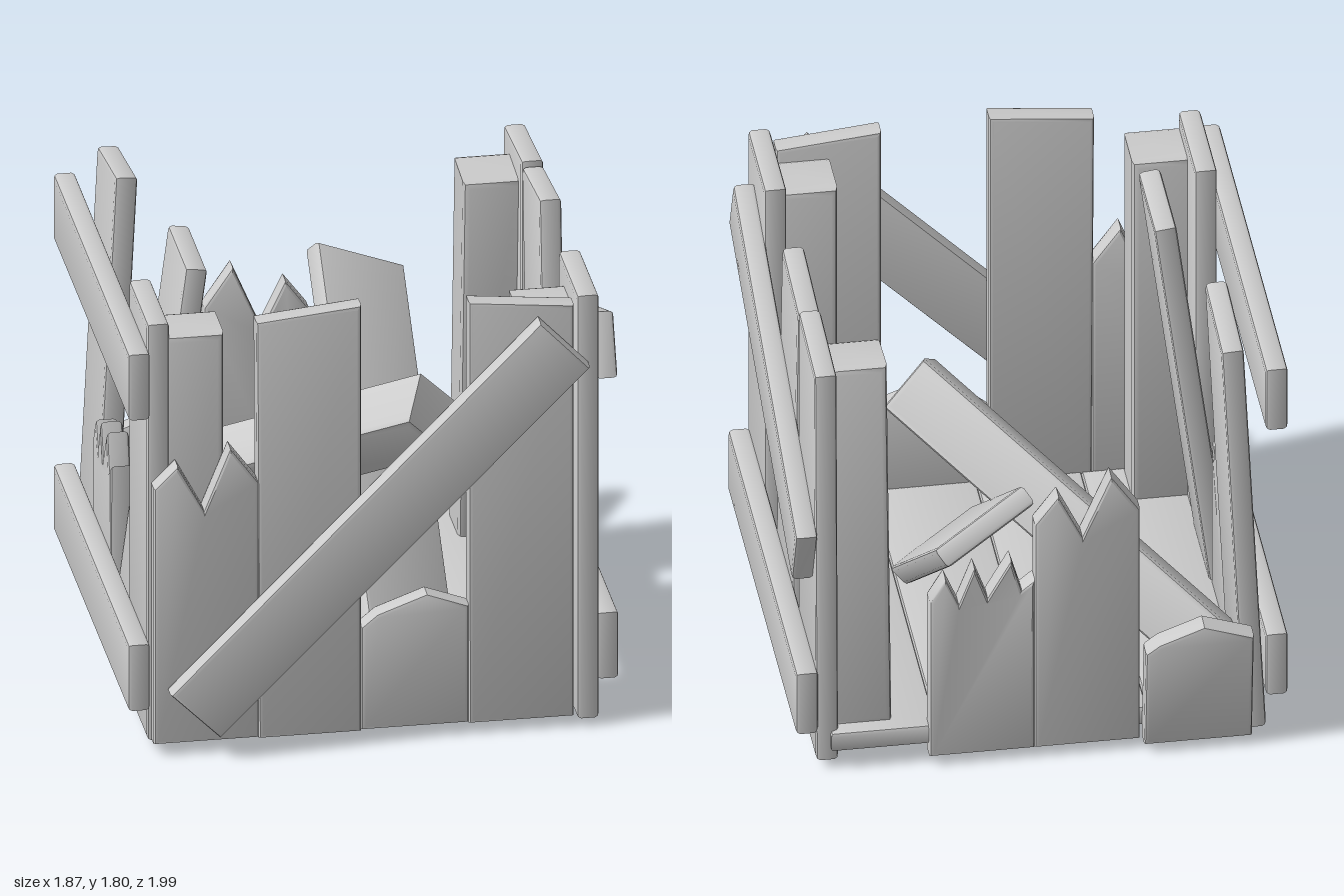
import * as THREE from 'three';
import { toCreasedNormals } from 'three/addons/utils/BufferGeometryUtils.js';

const material = new THREE.MeshStandardMaterial({ color: 0xcccccc });

// Board cut from an outline, with softly bevelled edges, centred on its thickness
function board(name, points, thickness = 0.085, bevel = 0.016) {
  const shape = new THREE.Shape(points.map(([x, y]) => new THREE.Vector2(x, y)));
  const geometry = new THREE.ExtrudeGeometry(shape, {
    depth: thickness - 2 * bevel, bevelThickness: bevel, bevelSize: bevel,
    bevelOffset: -bevel, bevelSegments: 2, steps: 1,
  });
  geometry.translate(0, 0, bevel - thickness / 2);
  const mesh = new THREE.Mesh(toCreasedNormals(geometry, 0.6), material);
  mesh.name = name;
  return mesh;
}

const rect = (x0, x1, y0, y1) => [[x0, y0], [x1, y0], [x1, y1], [x0, y1]];

// Plank standing from x0 to x1 whose top edge follows the given points
const upright = (x0, x1, y0, top) => [[x0, y0], [x1, y0], ...[...top].reverse()];

// Board lying along a given direction: across = width axis, along = length axis
function fallen(name, width, length, thickness, bevel, tip, across, along) {
  const mesh = board(name, rect(-width / 2, width / 2, -length, 0), thickness, bevel);
  const y = new THREE.Vector3(...along).normalize();
  const x = new THREE.Vector3(...across);
  x.addScaledVector(y, -x.dot(y)).normalize();
  const z = new THREE.Vector3().crossVectors(x, y);
  mesh.quaternion.setFromRotationMatrix(new THREE.Matrix4().makeBasis(x, y, z));
  mesh.position.set(...tip);
  return mesh;
}

// Wall group: local x runs to the right as seen from outside, local z points outward
function wall(name, angle, distance, boards) {
  const group = new THREE.Group();
  group.name = name;
  group.rotation.y = angle;
  group.position.set(Math.sin(angle) * distance, 0, Math.cos(angle) * distance);
  for (const { label, points, out = 0, lean = 0 } of boards) {
    const mesh = board(label, points);
    mesh.position.z = out;
    mesh.rotation.x = lean;
    group.add(mesh);
  }
  return group;
}

export function createModel() {
  const model = new THREE.Group();
  model.name = 'brokenCrate';

  // Front wall
  model.add(wall('frontWall', 0, 0.87, [
    { label: 'splitPlank', points: upright(-0.84, -0.44, 0.045,
      [[-0.84, 1.1], [-0.75, 1.19], [-0.65, 1.0], [-0.55, 1.25], [-0.44, 1.1]]) },
    { label: 'tallPlank', points: upright(-0.44, -0.05, 0.04, [[-0.45, 1.76], [-0.05, 1.8]]) },
    { label: 'shortPlank', points: upright(-0.05, 0.36, 0.045,
      [[-0.05, 0.47], [0.01, 0.52], [0.2, 0.59], [0.36, 0.53]]) },
    { label: 'tallPlank', points: upright(0.36, 0.76, 0.04, [[0.36, 1.78], [0.76, 1.74]]) },
    { label: 'diagonalBrace', out: 0.08,
      points: [[-0.6, 0.09], [0.81, 1.51], [0.62, 1.71], [-0.79, 0.28]] },
  ]));

  // Left side (+x)
  model.add(wall('leftWall', Math.PI / 2, 0.812, [
    { label: 'frontPlank', points: rect(-0.92, -0.51, 0.035, 1.78) },
    { label: 'leaningPlank', points: [[-0.26, 0.04], [0.14, 0.02], [0.3, 1.76], [-0.09, 1.8]] },
    { label: 'backPlank', points: upright(0.31, 0.75, 0.04, [[0.31, 1.78], [0.71, 1.75]]) },
    { label: 'upperBrace', out: 0.08,
      points: [[-0.87, 1.41], [0.66, 0.81], [0.76, 1.06], [-0.77, 1.64]] },
    { label: 'lowerBrace', out: 0.08, points: rect(-0.89, 0.77, 0.18, 0.45) },
  ]));

  // Splintered top used by two snapped planks
  const splinters = (x) => [[0, 0.74], [0.06, 0.84], [0.11, 0.72], [0.17, 0.88], [0.22, 0.74],
    [0.31, 0.9], [0.35, 0.76], [0.4, 0.8]].map(([u, y]) => [x + u, y]);

  // Right side (-x)
  model.add(wall('rightWall', -Math.PI / 2, 0.812, [
    { label: 'backPlank', lean: -0.05, points: upright(-0.78, -0.38, 0.04, [[-0.78, 1.75], [-0.38, 1.8]]) },
    { label: 'snappedPlank', points: upright(-0.37, 0.03, 0.04, splinters(-0.37)) },
    { label: 'leaningPlank', out: 0.015, lean: -0.13, points: rect(0.03, 0.43, 0.035, 1.79) },
    { label: 'frontPlank', points: rect(0.43, 0.84, 0.035, 1.75) },
    { label: 'upperBrace', out: 0.08, points: rect(-0.78, 0.88, 1.38, 1.65) },
    { label: 'lowerBrace', out: 0.08, points: rect(-0.78, 0.88, 0.18, 0.45) },
  ]));

  // Back wall, with one plank missing
  model.add(wall('backWall', Math.PI, 0.755, [
    { label: 'snappedPlank', points: upright(-0.43, -0.03, 0.04, splinters(-0.43)) },
    { label: 'splitPlank', points: upright(-0.03, 0.37, 0.04,
      [[-0.03, 1.05], [0.06, 1.17], [0.15, 0.98], [0.26, 1.24], [0.37, 1.08]]) },
    { label: 'shortPlank', out: 0.035, lean: 0.1, points: upright(0.38, 0.79, 0.04,
      [[0.38, 0.48], [0.43, 0.52], [0.6, 0.59], [0.79, 0.52]]) },
  ]));

  // Floor planks
  for (let i = 0; i < 4; i++) {
    const plank = board('floorPlank', rect(-0.2, 0.2, -0.8, 0.8));
    plank.rotation.x = Math.PI / 2;
    plank.position.set(-0.6 + 0.4 * i, 0.125, 0.03);
    model.add(plank);
  }

  // Slats under the floor
  for (const [z, turn] of [[0.46, -0.03], [-0.26, -0.18]]) {
    const slat = board('bottomSlat', rect(-0.72, 0.72, -0.135, 0.135));
    slat.rotation.set(Math.PI / 2, 0, -turn);
    slat.position.set(0.01, 0.043, z);
    model.add(slat);
  }

  // Standing corner posts; the back one leans inward
  for (const [x, z, lean] of [[-0.675, 0.72, 0], [0.675, 0.72, 0], [0.675, -0.61, 0.075]]) {
    const post = board('cornerPost', rect(-0.115, 0.115, 0.15, 1.69), 0.23, 0.025);
    post.position.set(x, 0, z);
    post.rotation.x = lean;
    model.add(post);
  }

  // Fallen post and fallen plank
  model.add(fallen('fallenPost', 0.24, 1.58, 0.23, 0.025,
    [0.345, 1.03, 0.25], [0.16, -0.18, -0.06], [0.975, 0.66, 0.91]));
  model.add(fallen('fallenPlank', 0.41, 1.67, 0.085, 0.016,
    [0.24, 1.15, -0.92], [0.37, -0.2, -0.11], [0.03, 0.98, -1.33]));

  return model;
}
